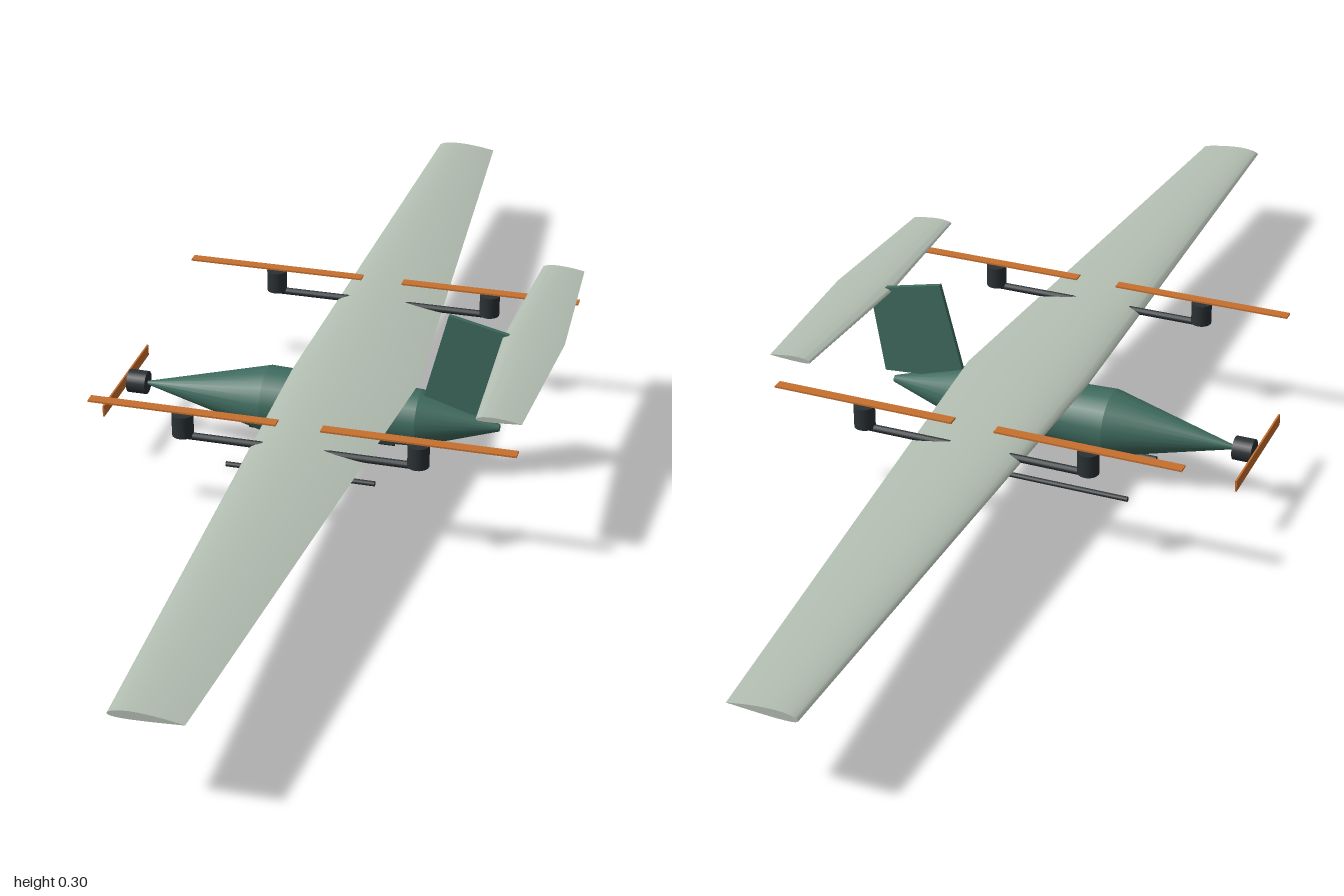
import * as THREE from 'three';
import { toCreasedNormals } from 'three/addons/utils/BufferGeometryUtils.js';

const material = (color) => new THREE.MeshStandardMaterial({ color });

// Cambered aerofoil outline for a unit chord: trailing edge, over the top, back underneath
function aerofoil(steps = 14) {
  const upper = [], lower = [];
  for (let i = 0; i <= steps; i++) {
    const x = (1 - Math.cos((i / steps) * Math.PI)) / 2;
    const half = 0.6 * (0.2969 * Math.sqrt(x) - 0.126 * x - 0.3516 * x ** 2 + 0.2843 * x ** 3 - 0.1036 * x ** 4);
    const camber = x < 0.4 ? 0.125 * (0.8 * x - x * x) : (0.02 / 0.36) * (0.2 + 0.8 * x - x * x);
    upper.unshift([x, camber + half]);
    if (i > 0 && i < steps) lower.push([x, camber - half]);
  }
  return [...upper, ...lower];
}

// Closed surface through aerofoil stations { z, front, back }, z increasing
function loftWing(stations, y) {
  const outline = aerofoil(), n = outline.length, pos = [], index = [];
  for (const { z, front, back } of stations) {
    const chord = back - front;
    for (const [u, v] of outline) pos.push(front + u * chord, y + v * chord, z);
  }
  const last = (stations.length - 1) * n;
  for (let s = 0; s < last; s += n) {
    for (let i = 0; i < n; i++) {
      const j = (i + 1) % n;
      index.push(s + i, s + j, s + n + j, s + i, s + n + j, s + n + i);
    }
  }
  for (let i = 1; i < n - 1; i++) {
    index.push(0, i + 1, i, last, last + i, last + i + 1);
  }
  const geometry = new THREE.BufferGeometry();
  geometry.setAttribute('position', new THREE.Float32BufferAttribute(pos, 3));
  geometry.setIndex(index);
  return toCreasedNormals(geometry, 0.7);
}

export function createModel() {
  const model = new THREE.Group();
  model.name = 'droneAircraft';
  const green = material(0x3f6b5e), pale = material(0xb3beb2);
  const dark = material(0x2b3134), orange = material(0xc8702f);

  function add(name, geometry, mat, x = 0, y = 0, z = 0) {
    const mesh = new THREE.Mesh(geometry, mat);
    mesh.name = name;
    mesh.position.set(x, y, z);
    model.add(mesh);
    return mesh;
  }
  // Cylinder or cone section running along x
  const tubeX = (rFront, rBack, length, sides = 24, open = false) =>
    new THREE.CylinderGeometry(rBack, rFront, length, sides, 1, open).rotateZ(-Math.PI / 2);

  // Fuselage: tapered sections along one axis
  const axisY = 0.102;
  const body = [[-0.34, 0.003], [-0.125, 0.057], [0.14, 0.048], [0.275, 0.006]];
  ['nose', 'midBody', 'tailCone'].forEach((name, i) => {
    const [x0, r0] = body[i], [x1, r1] = body[i + 1];
    add(name, tubeX(r0, r1, x1 - x0), green, (x0 + x1) / 2, axisY);
  });

  // Nose motor and propeller
  add('noseMotor', tubeX(0.02, 0.02, 0.033), dark, -0.356, axisY);
  add('nosePropeller', new THREE.BoxGeometry(0.003, 0.02, 0.23), orange, -0.379, axisY);

  // Main wing and tailplane
  add('wing', loftWing([
    { z: -1, front: -0.055, back: 0.055 },
    { z: 0, front: -0.081, back: 0.136 },
    { z: 1, front: -0.055, back: 0.055 },
  ], 0.165), pale);
  add('tailplane', loftWing([
    { z: -0.277, front: 0.289, back: 0.361 },
    { z: 0, front: 0.275, back: 0.377 },
    { z: 0.277, front: 0.289, back: 0.361 },
  ], 0.271), pale);

  // Swept fin
  const fin = new THREE.Shape([[0.142, 0.13], [0.29, 0.118], [0.315, 0.27], [0.185, 0.3]]
    .map(([x, y]) => new THREE.Vector2(x, y)));
  add('fin', new THREE.ExtrudeGeometry(fin, { depth: 0.008, bevelEnabled: false }), green, 0, 0, -0.004);

  // Booms with lift motors and rotors, and the skids, on both sides
  for (const [side, s] of [['left', -1], ['right', 1]]) {
    const z = 0.27 * s;
    add(side + 'Boom', tubeX(0.006, 0.006, 0.384, 12), dark, 0.007, 0.17, z);
    for (const [end, x] of [['Front', -0.186], ['Rear', 0.199]]) {
      add(side + end + 'LiftMotor', new THREE.CylinderGeometry(0.0175, 0.0175, 0.038, 20), dark, x, 0.19, z);
      add(side + end + 'Rotor', new THREE.BoxGeometry(0.312, 0.003, 0.018), orange, x, 0.214, z);
    }
    add(side + 'Skid', tubeX(0.0045, 0.0045, 0.26, 10), dark, -0.05, 0.0045, 0.07 * s);
  }
  return model;
}
